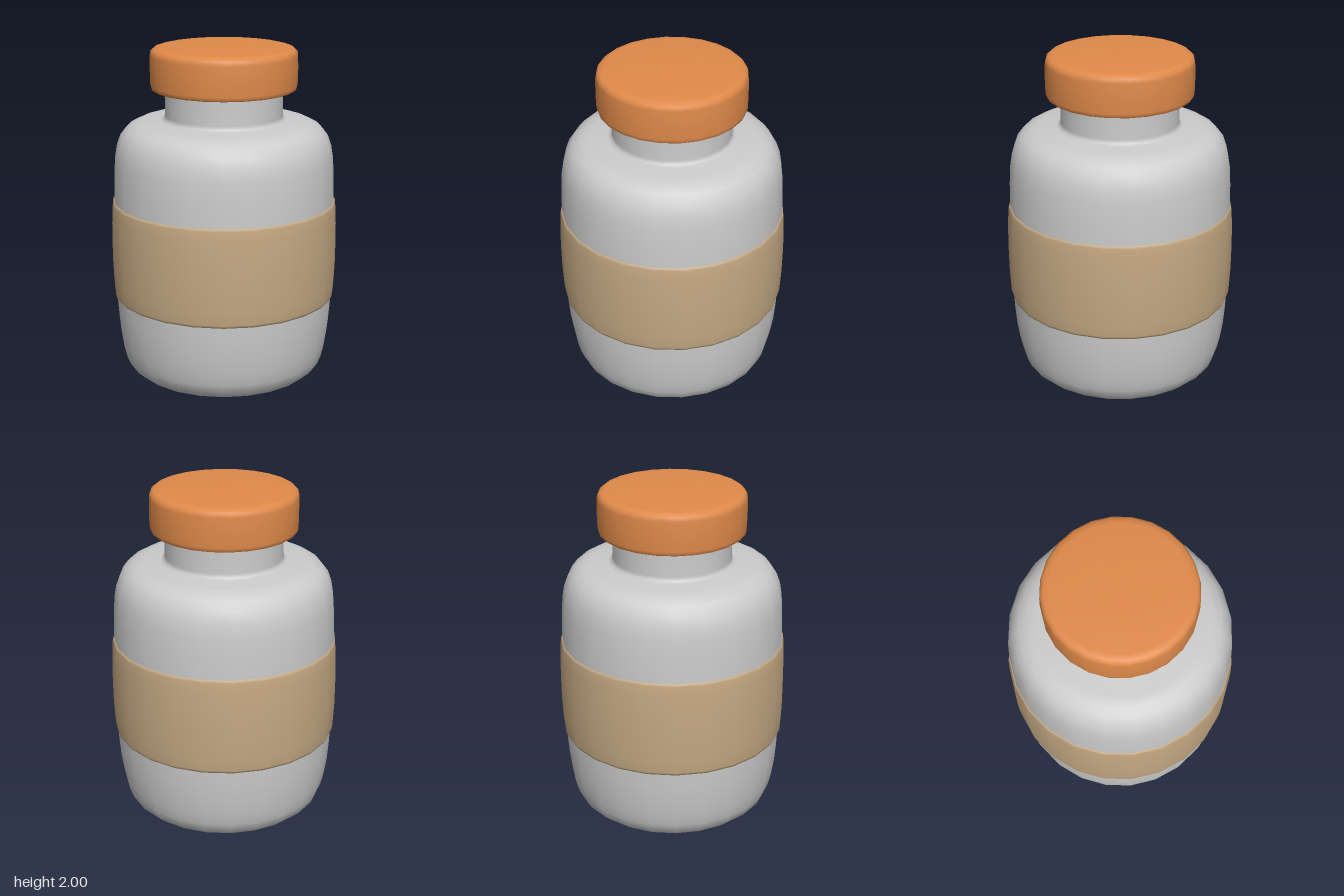
import * as THREE from 'three';

const SIDES = 24;

// Revolves a profile of [radius, height] points, listed from bottom to top
function turned(name, profile, color) {
  const points = profile.map(([r, y]) => new THREE.Vector2(r, y));
  const mesh = new THREE.Mesh(
    new THREE.LatheGeometry(points, SIDES),
    new THREE.MeshStandardMaterial({ color, side: THREE.DoubleSide })
  );
  mesh.name = name;
  return mesh;
}

export function createModel() {
  const group = new THREE.Group();
  group.name = 'bottle';

  // Body with a soft base, rounded shoulder and straight neck
  group.add(turned('body', [
    [0, 0.005], [0.2, 0.01], [0.36, 0.02], [0.46, 0.038], [0.53, 0.065],
    [0.575, 0.105], [0.597, 0.16], [0.613, 0.23], [0.628, 0.33], [0.637, 0.44],
    [0.643, 0.58], [0.645, 0.82], [0.644, 1.1], [0.641, 1.24], [0.634, 1.35],
    [0.622, 1.42], [0.6, 1.48], [0.565, 1.525], [0.515, 1.552], [0.46, 1.564],
    [0.365, 1.57], [0.346, 1.578], [0.34, 1.6], [0.34, 1.79],
  ], 0xcccccc));

  // Label band wrapped around the middle
  group.add(turned('labelBand', [
    [0.636, 0.53], [0.648, 0.53], [0.653, 0.545], [0.657, 0.61], [0.661, 0.7],
    [0.662, 0.82], [0.661, 0.94], [0.657, 1.03], [0.653, 1.085], [0.648, 1.1],
    [0.636, 1.1],
  ], 0xc4a882));

  // Screw cap with a slightly domed top
  group.add(turned('cap', [
    [0.33, 1.75], [0.41, 1.75], [0.418, 1.756], [0.422, 1.775], [0.424, 1.86],
    [0.422, 1.945], [0.417, 1.968], [0.402, 1.982], [0.37, 1.99], [0.2, 1.998],
    [0, 2],
  ], 0xe08a4a));

  return group;
}
